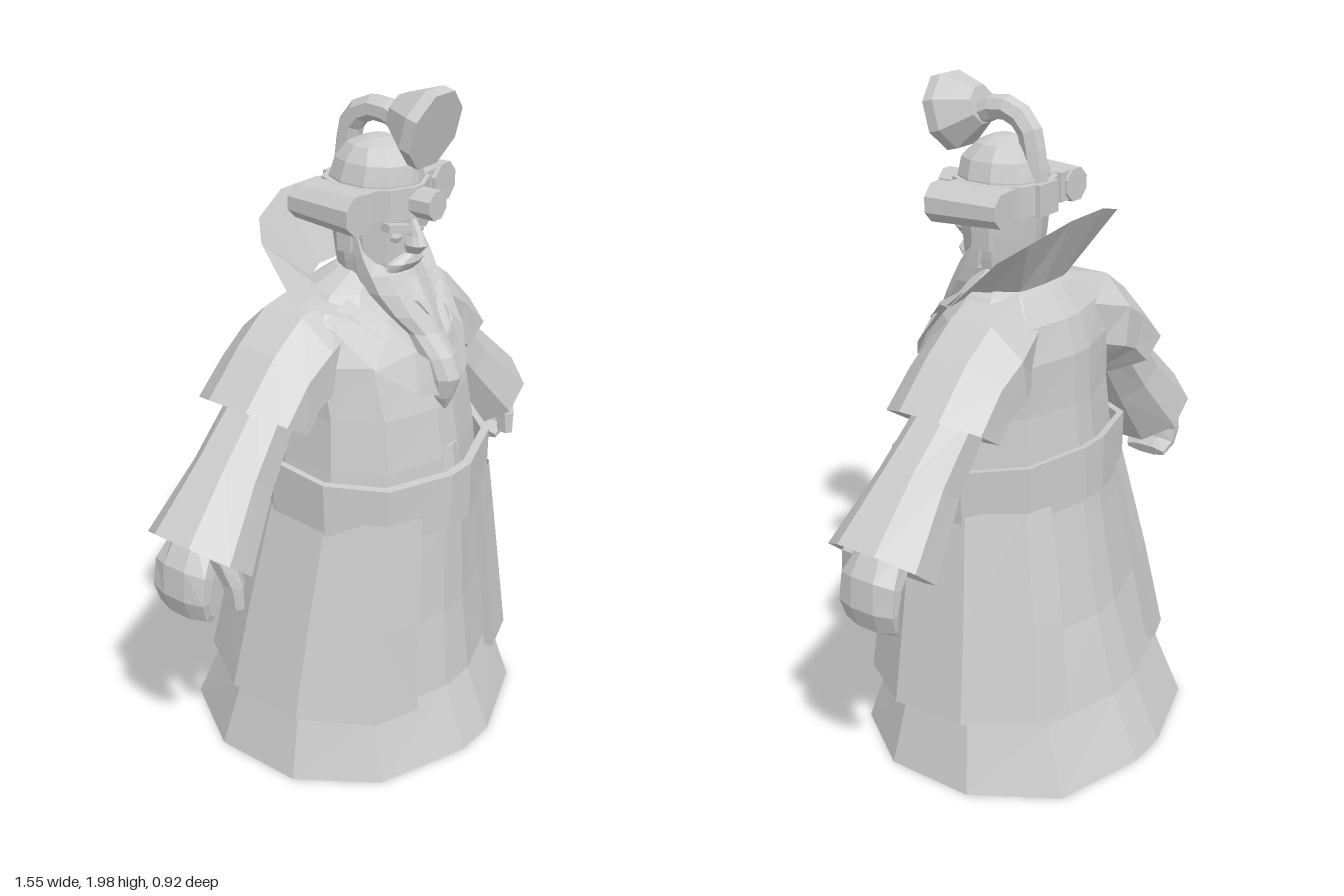
import * as THREE from 'three';

const grey = new THREE.MeshStandardMaterial({ color: 0xcccccc, flatShading: true, side: THREE.DoubleSide });
grey.name = 'plain grey';

// Skin between cross-sections; each ring turns right-handed about the travel direction
function loft(rings, { closed = true, capStart = false, capEnd = false } = {}) {
  const n = rings[0].length, pos = rings.flat(2), idx = [];
  for (let i = 0; i < rings.length - 1; i++)
    for (let j = 0; j < (closed ? n : n - 1); j++) {
      const a = i * n + j, b = i * n + (j + 1) % n;
      idx.push(a, b, b + n, a, b + n, a + n);
    }
  const last = (rings.length - 1) * n;
  for (let j = 1; j < n - 1; j++) {
    if (capStart) idx.push(0, j + 1, j);
    if (capEnd) idx.push(last, last + j, last + j + 1);
  }
  const g = new THREE.BufferGeometry();
  g.setAttribute('position', new THREE.Float32BufferAttribute(pos, 3));
  g.setIndex(idx);
  const flat = g.toNonIndexed();
  flat.computeVertexNormals();
  return flat;
}

// Horizontal 12-sided ring: height, half width, front z, back z, rise per unit z
const HALF = [[0.13, 1], [0.7, 0.77], [1, 0.3], [1, -0.3], [0.7, -0.82], [0.13, -1]];
const FULL = [...HALF, ...HALF.slice().reverse().map(([x, z]) => [-x, z])];
function hoop([y, hx, zf, zb], slope = 0, outline = FULL) {
  const c = (zf + zb) / 2, h = (zf - zb) / 2;
  return outline.map(([x, z]) => [x * hx, y + slope * (c + h * z), c + h * z]);
}
const stack = (rows, caps = {}, slope = 0) => loft(rows.map(r => hoop(r, slope)), caps);

// Limb running sideways: each row is top x,y, bottom x,y, half depth, centre z
function limb(rows, caps = {}, n = 8) {
  const k = 1 / Math.cos(Math.PI / n);
  return loft(rows.map(([tx, ty, bx, by, rz, cz]) => Array.from({ length: n }, (_, i) => {
    const a = (i + 0.5) * 2 * Math.PI / n, c = Math.cos(a) * k / 2, s = Math.sin(a) * k;
    return [(tx + bx) / 2 + c * (tx - bx), (ty + by) / 2 + c * (ty - by), cz + s * rz];
  })), caps);
}

export function createModel() {
  const model = new THREE.Group();
  model.name = 'robedFigure';
  const add = (name, geo, parent = model, x = 0, y = 0, z = 0) => {
    const m = new THREE.Mesh(geo, grey);
    m.name = name;
    m.position.set(x, y, z);
    parent.add(m);
    return m;
  };
  const ends = { capStart: true, capEnd: true };

  // Long robe, hollow underneath
  add('robe', stack([
    [0, 0.49, 0.46, -0.46], [0.2, 0.44, 0.385, -0.37], [0.45, 0.375, 0.362, -0.3],
    [0.75, 0.325, 0.35, -0.25], [0.95, 0.3, 0.335, -0.22], [1.1, 0.285, 0.31, -0.205],
    [1.25, 0.285, 0.26, -0.2], [1.35, 0.26, 0.2, -0.17], [1.42, 0.19, 0.14, -0.11], [1.47, 0.1, 0.11, -0.04],
  ], { capEnd: true }));

  // Tilted belt: a thick band, lower in front
  add('belt', stack([
    [0.785, 0.33, 0.35, -0.225], [0.785, 0.35, 0.375, -0.25], [0.955, 0.355, 0.375, -0.25],
    [0.955, 0.335, 0.35, -0.23], [0.785, 0.33, 0.35, -0.225],
  ], {}, -0.11));
  add('beltKnot', new THREE.CylinderGeometry(0.04, 0.065, 0.09, 6), model, 0, 0.935, 0.32).scale.z = 0.5;

  // Head, helmet and headband
  add('head', stack([
    [1.36, 0.08, 0.13, -0.02], [1.44, 0.095, 0.16, -0.03], [1.5, 0.105, 0.18, -0.04],
    [1.57, 0.11, 0.185, -0.05], [1.65, 0.112, 0.195, -0.06],
  ]));
  add('helmet', stack([
    [1.63, 0.118, 0.2, -0.065], [1.72, 0.115, 0.198, -0.06], [1.77, 0.1, 0.19, -0.045],
    [1.81, 0.07, 0.145, -0.015], [1.83, 0.03, 0.1, 0.04],
  ], { capEnd: true }));
  add('headband', stack([
    [1.63, 0.115, 0.19, -0.06], [1.63, 0.13, 0.212, -0.08], [1.715, 0.13, 0.212, -0.08], [1.715, 0.11, 0.19, -0.06],
  ]));
  add('stemMount', new THREE.BoxGeometry(0.09, 0.09, 0.04), model, 0, 1.67, -0.065);

  // Face
  add('nose', stack([[1.525, 0.016, 0.215, 0.16], [1.55, 0.028, 0.237, 0.16], [1.575, 0.018, 0.225, 0.16], [1.62, 0.014, 0.2, 0.15]], ends));
  add('moustache', stack([[1.475, 0.075, 0.185, 0.1], [1.5, 0.07, 0.205, 0.1], [1.525, 0.03, 0.2, 0.1]], ends));
  add('beard', stack([
    [1.09, 0.008, 0.315, 0.3], [1.13, 0.035, 0.335, 0.27], [1.19, 0.048, 0.355, 0.25], [1.25, 0.05, 0.33, 0.22],
    [1.31, 0.055, 0.28, 0.17], [1.36, 0.085, 0.25, 0.11], [1.42, 0.105, 0.215, 0.05], [1.47, 0.11, 0.185, 0.03],
    [1.52, 0.114, 0.14, 0.04], [1.6, 0.115, 0.1, 0.04],
  ], ends));
  add('beardRidge', stack([[1.36, 0.012, 0.265, 0.2], [1.4, 0.04, 0.24, 0.15], [1.46, 0.012, 0.205, 0.1]], ends));

  // Small round lamp on the forehead
  const browLamp = new THREE.CylinderGeometry(0.042, 0.042, 0.07, 8);
  browLamp.rotateY(Math.PI / 8).rotateX(Math.PI / 2);
  add('foreheadLamp', browLamp, model, 0, 1.67, 0.235);

  // Overhead lamp on a curved stem
  const stemPath = new THREE.CatmullRomCurve3([
    [0, 1.65, -0.045], [0, 1.78, -0.035], [0, 1.86, -0.015], [0, 1.9, 0.04], [0, 1.9, 0.1], [0, 1.88, 0.15],
  ].map(p => new THREE.Vector3(...p)));
  add('lampStem', new THREE.TubeGeometry(stemPath, 8, 0.036, 7));
  const shade = new THREE.LatheGeometry(
    [[0, -0.07], [0.055, -0.07], [0.112, 0.02], [0.112, 0.055], [0, 0.055]].map(p => new THREE.Vector2(...p)), 8);
  shade.rotateY(Math.PI / 8).rotateX(Math.PI / 2 + 0.26);
  add('overheadLamp', shade, model, 0, 1.885, 0.205);

  // Flared collar and lapels, open sheets mirrored about the middle
  const sheet = (...rows) => loft(rows.map(r =>
    [...r, ...r.slice().reverse().map(([x, y, z]) => [-x, y, z])]), { closed: false });
  add('collar', sheet(
    [[0.09, 1.27, 0.25], [0.13, 1.35, 0.16], [0.16, 1.4, 0.08], [0.16, 1.42, 0], [0.12, 1.43, -0.07], [0.05, 1.44, -0.1]],
    [[0.13, 1.3, 0.24], [0.21, 1.38, 0.14], [0.31, 1.42, 0.03], [0.28, 1.56, -0.11], [0.22, 1.605, -0.17], [0.08, 1.645, -0.21]]
  ));
  add('lapels', sheet(
    [[0.14, 1.42, 0.09], [0.12, 1.35, 0.21], [0.09, 1.28, 0.27], [0.02, 1.22, 0.3]],
    [[0.27, 1.38, 0.1], [0.21, 1.25, 0.225], [0.12, 1.17, 0.3], [0.03, 1.14, 0.318]]
  ));

  // Everything that comes in pairs
  for (const [side, s] of [['left', 1], ['right', -1]]) {
    const half = new THREE.Group();
    half.name = side + 'Side';
    half.scale.x = s;
    model.add(half);

    // Thick coat panel wrapping the side of the robe
    const outer = [[0.43, 0.97], [0.73, 0.84], [1, 0.32], [1, -0.32], [0.75, -0.83], [0.52, -0.93]];
    const inner = outer.slice().reverse().map(([x, z]) => [x * 0.95, z * 0.93]);
    add('coatPanel', loft([
      [0.215, 0.47, 0.392, -0.36], [0.5, 0.412, 0.375, -0.31], [0.83, 0.343, 0.355, -0.24],
    ].map(r => hoop(r, -0.05, [...outer, ...inner]))), half);
    const hem = hoop([0.215, 0.47, 0.392, -0.36], -0.05, outer);
    const hemIn = hoop([0.215, 0.47, 0.392, -0.36], -0.05, inner.slice().reverse());
    add('coatHem', loft([hemIn, hem], { closed: false }), half);

    // Short over-sleeve, long flared sleeve, hand
    add('shoulderCape', limb([
      [0.13, 1.43, 0.18, 1.12, 0.13, -0.02], [0.29, 1.385, 0.24, 1.1, 0.16, -0.03],
      [0.4, 1.31, 0.29, 1.09, 0.155, -0.03], [0.525, 1.19, 0.325, 1.06, 0.16, -0.03],
      [0.48, 1.17, 0.34, 1.08, 0.11, -0.03],
    ]), half);
    add('sleeve', limb([
      [0.44, 1.2, 0.31, 1.1, 0.095, -0.03], [0.6, 1.06, 0.44, 0.92, 0.11, -0.02],
      [0.775, 0.9, 0.575, 0.73, 0.15, -0.012], [0.74, 0.9, 0.6, 0.78, 0.11, -0.012],
    ]), half);
    add('hand', limb([
      [0.71, 0.9, 0.61, 0.82, 0.07, -0.02], [0.765, 0.81, 0.69, 0.77, 0.09, -0.02],
      [0.772, 0.72, 0.715, 0.72, 0.092, -0.02], [0.75, 0.655, 0.712, 0.685, 0.085, -0.02],
      [0.7, 0.622, 0.688, 0.655, 0.07, -0.02],
    ], ends), half);
    add('thumb', limb([
      [0.71, 0.84, 0.64, 0.82, 0.035, 0.075], [0.69, 0.76, 0.64, 0.76, 0.03, 0.1], [0.68, 0.69, 0.645, 0.69, 0.025, 0.105],
    ], ends, 6), half);

    // Side tube lamp with its bracket
    const tube = new THREE.CylinderGeometry(0.058, 0.05, 0.22, 8);
    tube.rotateY(Math.PI / 8).rotateX(Math.PI / 2);
    add('tubeLamp', tube, half, 0.185, 1.67, 0.05).rotation.y = 0.07;
    add('tubeBracket', new THREE.BoxGeometry(0.07, 0.085, 0.2), half, 0.145, 1.672, 0.05);

    // Brow, eye and ear
    add('brow', new THREE.BoxGeometry(0.07, 0.022, 0.05), half, 0.058, 1.607, 0.172).rotation.set(0, 0.35, 0.15);
    add('eye', new THREE.SphereGeometry(0.02, 6, 4), half, 0.05, 1.578, 0.168);
    add('ear', new THREE.BoxGeometry(0.025, 0.08, 0.045), half, 0.115, 1.57, 0.05);

    // Boot and leg under the robe
    const boot = add('boot', stack([
      [0, 0.075, 0.19, -0.14], [0.05, 0.078, 0.2, -0.145], [0.1, 0.065, 0.14, -0.125],
      [0.17, 0.06, 0.04, -0.11], [0.5, 0.075, 0.06, -0.1],
    ], ends), half, 0.14, 0, 0.03);
    boot.rotation.y = 0.25;
  }
  return model;
}
